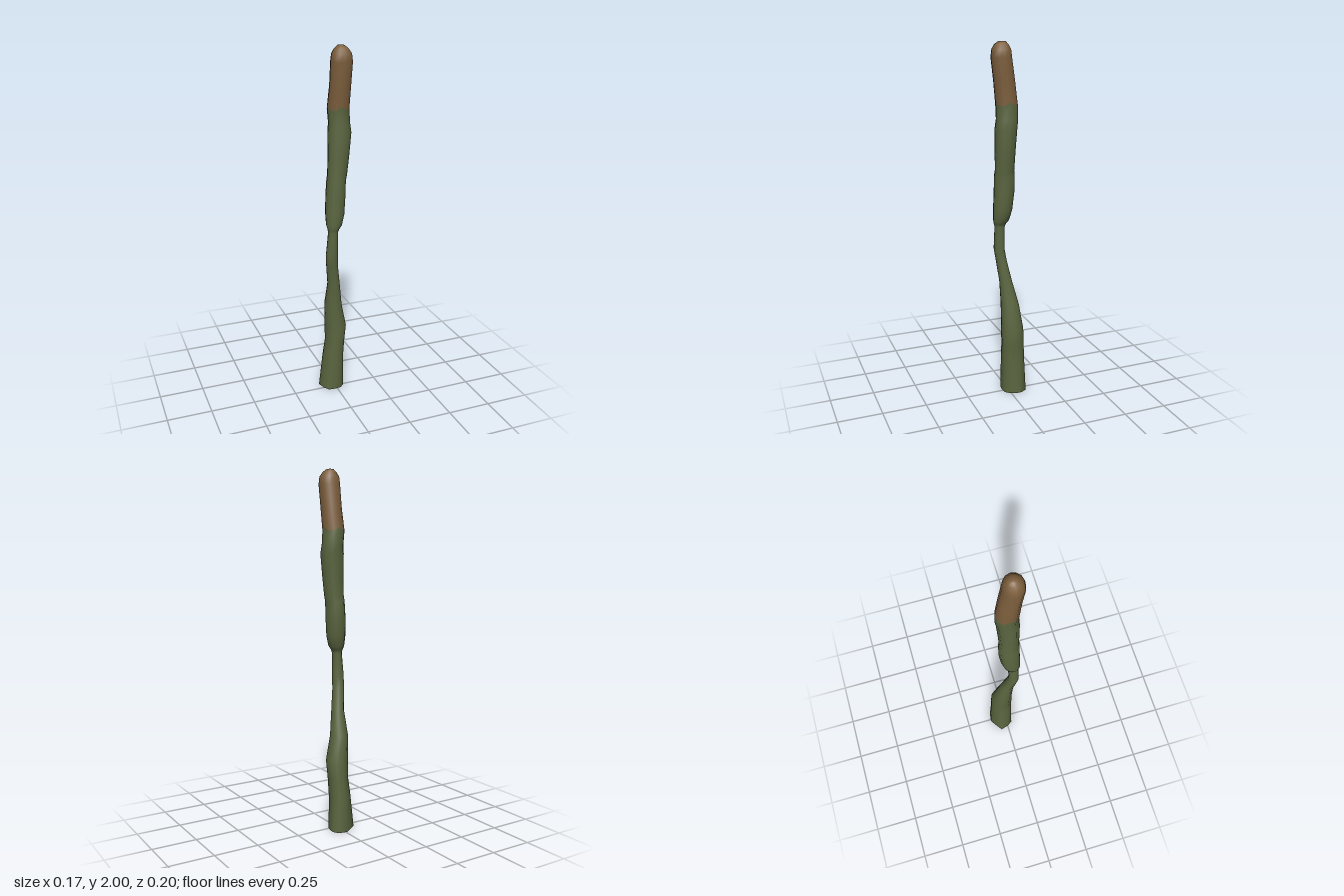
import * as THREE from 'three';

const SIDES = 12;

// Cross-sections from the ground up: y, xMin, xMax, zMin, zMax
const RINGS = [
  [0, -0.087, 0.06, -0.10, 0.035],
  [0.2, -0.066, 0.055, -0.092, 0.038],
  [0.3, -0.052, 0.06, -0.087, 0.04],
  [0.4, -0.055, 0.07, -0.082, 0.043],
  [0.54, -0.06, 0.04, -0.064, 0.04],
  [0.68, -0.05, 0.02, -0.026, 0.048],
  [0.8, -0.065, 0.002, 0, 0.062],
  [0.87, -0.07, -0.002, 0.012, 0.072],
  [1.0, -0.056, -0.002, 0.012, 0.07],
  [1.02, -0.06, 0.005, 0.004, 0.076],
  [1.04, -0.065, 0.022, -0.01, 0.08],
  [1.1, -0.067, 0.038, -0.025, 0.082],
  [1.2, -0.063, 0.046, -0.035, 0.08],
  [1.29, -0.056, 0.048, -0.036, 0.08],
  [1.32, -0.053, 0.055, -0.03, 0.076],
  [1.42, -0.05, 0.067, -0.033, 0.078],
  [1.55, -0.05, 0.08, -0.04, 0.08],
  [1.6, -0.043, 0.074, -0.046, 0.074],
  [1.68, -0.05, 0.069, -0.046, 0.075],
  [1.8, -0.042, 0.072, -0.028, 0.088],
  [1.92, -0.043, 0.075, -0.01, 0.102],
  [1.96, -0.038, 0.07, -0.005, 0.097],
  [1.985, -0.022, 0.052, 0.008, 0.082],
  [2.0, -0.005, 0.033, 0.022, 0.06],
];
const SEAM = RINGS.findIndex((r) => r[0] === 1.68);

// Angular outline of the cut foot, in units of the ring's half sizes
const FOOT = [[1, 0], [0.85, 0.55], [0.5, 0.95], [0, 1], [-0.5, 0.95], [-0.8, 0.5],
  [-0.9, 0.1], [-1, -0.2], [-0.55, -0.55], [0.05, -1], [0.75, -0.9], [1, -0.4]];

function ringPoint([y, x0, x1, z0, z1], j, isSeam) {
  const a = (j / SIDES) * Math.PI * 2;
  const foot = Math.max(0, 1 - y / 0.6);
  const u = THREE.MathUtils.lerp(Math.cos(a), FOOT[j][0], foot);
  const v = THREE.MathUtils.lerp(Math.sin(a), FOOT[j][1], foot);
  const wave = isSeam ? 0.013 * Math.cos(j * Math.PI / 1.5) : 0;
  return [(x0 + x1) / 2 + u * (x1 - x0) / 2, y + wave, (z0 + z1) / 2 + v * (z1 - z0) / 2];
}

// Index for the wall between two rings
function wall(from, to) {
  const index = [];
  for (let i = from; i < to; i++) {
    for (let j = 0; j < SIDES; j++) {
      const a = i * SIDES + j, b = i * SIDES + (j + 1) % SIDES;
      index.push(a, a + SIDES, b, b, a + SIDES, b + SIDES);
    }
  }
  return index;
}

export function createModel() {
  const green = new THREE.MeshStandardMaterial({ name: 'stem green', color: 0x5b6640 });
  const brown = new THREE.MeshStandardMaterial({ name: 'tip brown', color: 0x7d5f3d });
  const group = new THREE.Group();
  group.name = 'reed';

  // One continuous smooth skin, closed at the top
  const points = RINGS.flatMap((r, i) => FOOT.flatMap((_, j) => ringPoint(r, j, i === SEAM)));
  const last = RINGS.length - 1, top = RINGS.length * SIDES;
  points.push(0.014, 2.0, 0.041);
  const tipIndex = wall(SEAM, last);
  for (let j = 0; j < SIDES; j++) {
    tipIndex.push(top, last * SIDES + (j + 1) % SIDES, last * SIDES + j);
  }
  const stemIndex = wall(0, SEAM);
  const skin = new THREE.BufferGeometry();
  skin.setAttribute('position', new THREE.Float32BufferAttribute(points, 3));
  skin.setIndex([...stemIndex, ...tipIndex]);
  skin.computeVertexNormals();

  const add = (name, geometry, material) => {
    const mesh = new THREE.Mesh(geometry, material);
    mesh.name = name;
    group.add(mesh);
  };

  // Stem and tip share the skin's normals, so the colour seam stays smooth
  for (const [name, index, material] of [['stem', stemIndex, green], ['tip', tipIndex, brown]]) {
    const part = skin.clone();
    part.setIndex(index);
    add(name, part, material);
  }

  // Flat underside of the foot
  const base = [-0.013, 0, -0.033], baseIndex = [];
  for (let j = 0; j < SIDES; j++) {
    base.push(...ringPoint(RINGS[0], j, false));
    baseIndex.push(0, j + 1, (j + 1) % SIDES + 1);
  }
  const underside = new THREE.BufferGeometry();
  underside.setAttribute('position', new THREE.Float32BufferAttribute(base, 3));
  underside.setIndex(baseIndex);
  underside.computeVertexNormals();
  add('underside', underside, green);

  return group;
}
